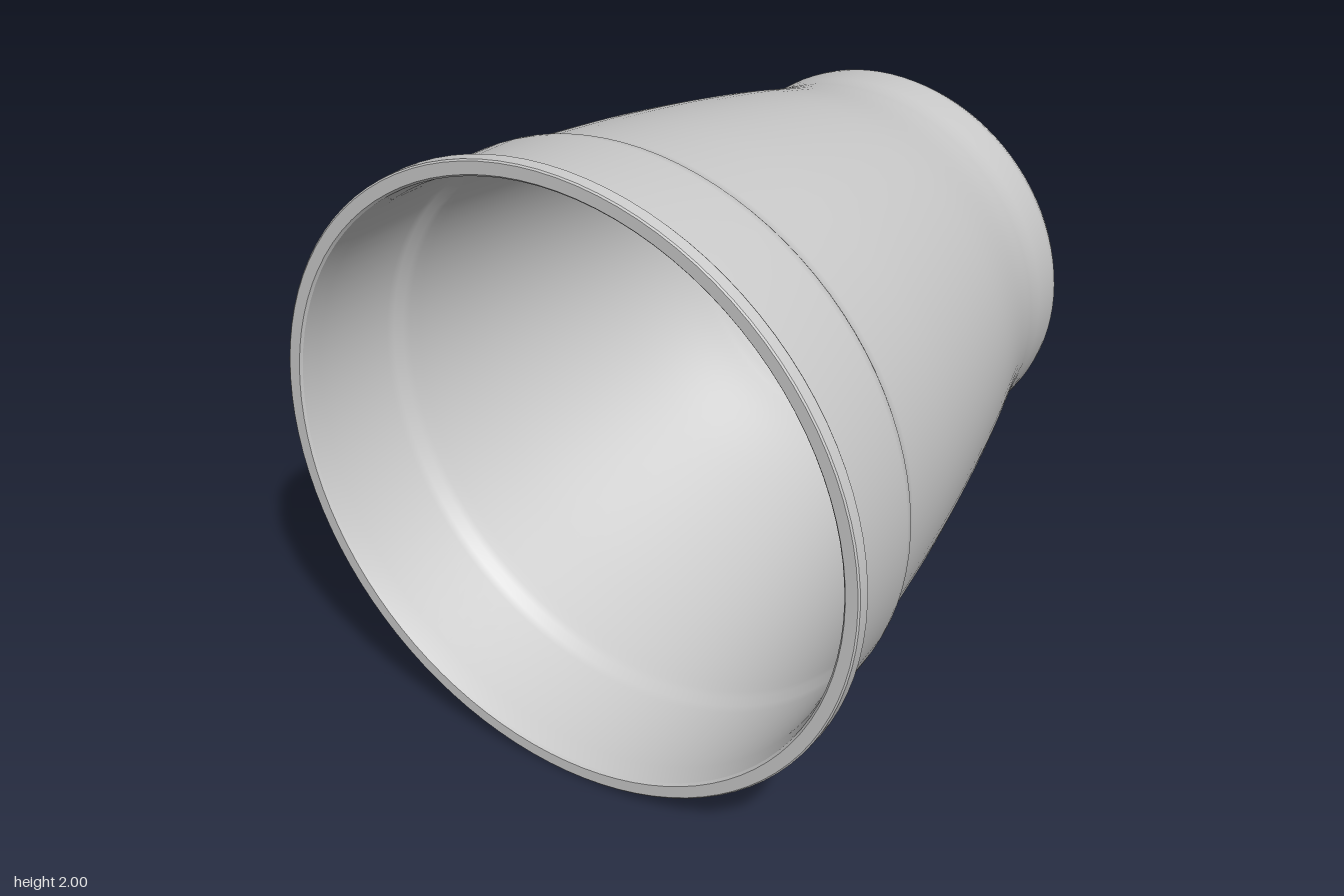
import * as THREE from 'three';
import { toCreasedNormals } from 'three/addons/utils/BufferGeometryUtils.js';

const material = new THREE.MeshStandardMaterial({ color: 0xcccccc, side: THREE.DoubleSide });
const SEGMENTS = 96;
const BACK = -0.945; // outside of the base
const THICK = 0.02;
const PLATEAU = 0.055; // how far the middle of the base is pushed in

// Turn a profile of [radius, z] pairs about the z axis
function lathe(profile, name) {
  const points = profile.map(([r, z]) => new THREE.Vector2(r, z));
  const geometry = new THREE.LatheGeometry(points, SEGMENTS).rotateX(Math.PI / 2);
  return named(toCreasedNormals(geometry, 0.6), name);
}

function named(geometry, name) {
  const mesh = new THREE.Mesh(geometry, material);
  mesh.name = name;
  return mesh;
}

function circle(Type, x, y, r) {
  const path = new Type();
  path.absarc(x, y, r, 0, Math.PI * 2, false);
  return path;
}

// Flat round plate with drain holes
function plate(radius, holes, z, name) {
  const shape = circle(THREE.Shape, 0, 0, radius);
  shape.holes = holes.map(([x, y, r]) => circle(THREE.Path, x, y, r));
  const geometry = new THREE.ExtrudeGeometry(shape, { depth: THICK, bevelEnabled: false, curveSegments: 48 });
  return named(toCreasedNormals(geometry.translate(0, 0, z), 0.6), name);
}

// Point on a circle round the base, in degrees
function polar(r, degrees) {
  const a = THREE.MathUtils.degToRad(degrees);
  return [r * Math.cos(a), r * Math.sin(a)];
}

// Gently bowed wall between the foot and the shoulder step
function bowedWall(inset) {
  const curve = new THREE.SplineCurve([
    [0.66, -0.7], [0.682, -0.6], [0.737, -0.4], [0.785, -0.2],
    [0.828, 0], [0.866, 0.2], [0.898, 0.4], [0.92, 0.55],
  ].map(([r, z]) => new THREE.Vector2(r - inset, z)));
  return curve.getPoints(28).map((p) => [p.x, p.y]);
}

export function createModel() {
  const pot = new THREE.Group();
  pot.name = 'plantPot';

  // Outside of the wall, over the rim and down the inside
  const outside = [
    [0.585, BACK], [0.61, -0.941], [0.63, -0.928], [0.642, -0.905], [0.646, -0.88],
    [0.65, -0.78], [0.654, -0.73],
    ...bowedWall(0),
    [0.928, 0.56], [0.939, 0.575], [0.943, 0.6], [0.962, 0.885],
    [0.975, 0.895], [0.992, 0.9], [1.0, 0.91], [1.0, 0.948], [0.995, 0.952],
  ];
  const inside = [
    [0.957, 0.952], [0.95, 0.945], [0.938, 0.88], [0.922, 0.6], [0.915, 0.575], [0.9, 0.55],
    ...bowedWall(0.022).reverse().slice(1),
    [0.631, -0.73], [0.628, -0.88], [0.615, -0.91], [0.585, BACK + THICK],
  ];
  pot.add(lathe([...outside, ...inside], 'wallAndRim'));

  // Base ring with three drain holes
  const drains = [49.5, 169.5, 289.5].map((a) => [...polar(0.49, a), 0.036]);
  pot.add(plate(0.587, [[0, 0, 0.37], ...drains], BACK, 'baseRing'));

  // Pushed-in middle with its sloping edge and centre hole
  pot.add(plate(0.302, [[0, 0, 0.036]], BACK + PLATEAU, 'baseCentre'));
  const slope = [[0.29, PLATEAU], [0.305, PLATEAU - 0.004], [0.365, 0.004], [0.38, 0]];
  pot.add(lathe([
    ...slope.map(([r, z]) => [r, BACK + z]),
    ...slope.map(([r, z]) => [r, BACK + THICK + z]).reverse(),
  ], 'baseSlope'));

  // Six small feet under the base
  for (let i = 0; i < 6; i++) {
    const [x, y] = polar(0.495, 19.5 + i * 60);
    const foot = named(new THREE.SphereGeometry(0.027, 20, 12), 'footBump');
    foot.scale.z = 0.55;
    foot.position.set(x, y, BACK);
    pot.add(foot);
  }

  // The pot lies on its side, turned very slightly
  pot.rotation.y = 0.009;
  pot.position.set(-0.009, 1, 0);
  const model = new THREE.Group();
  model.name = 'model';
  model.add(pot);
  return model;
}
